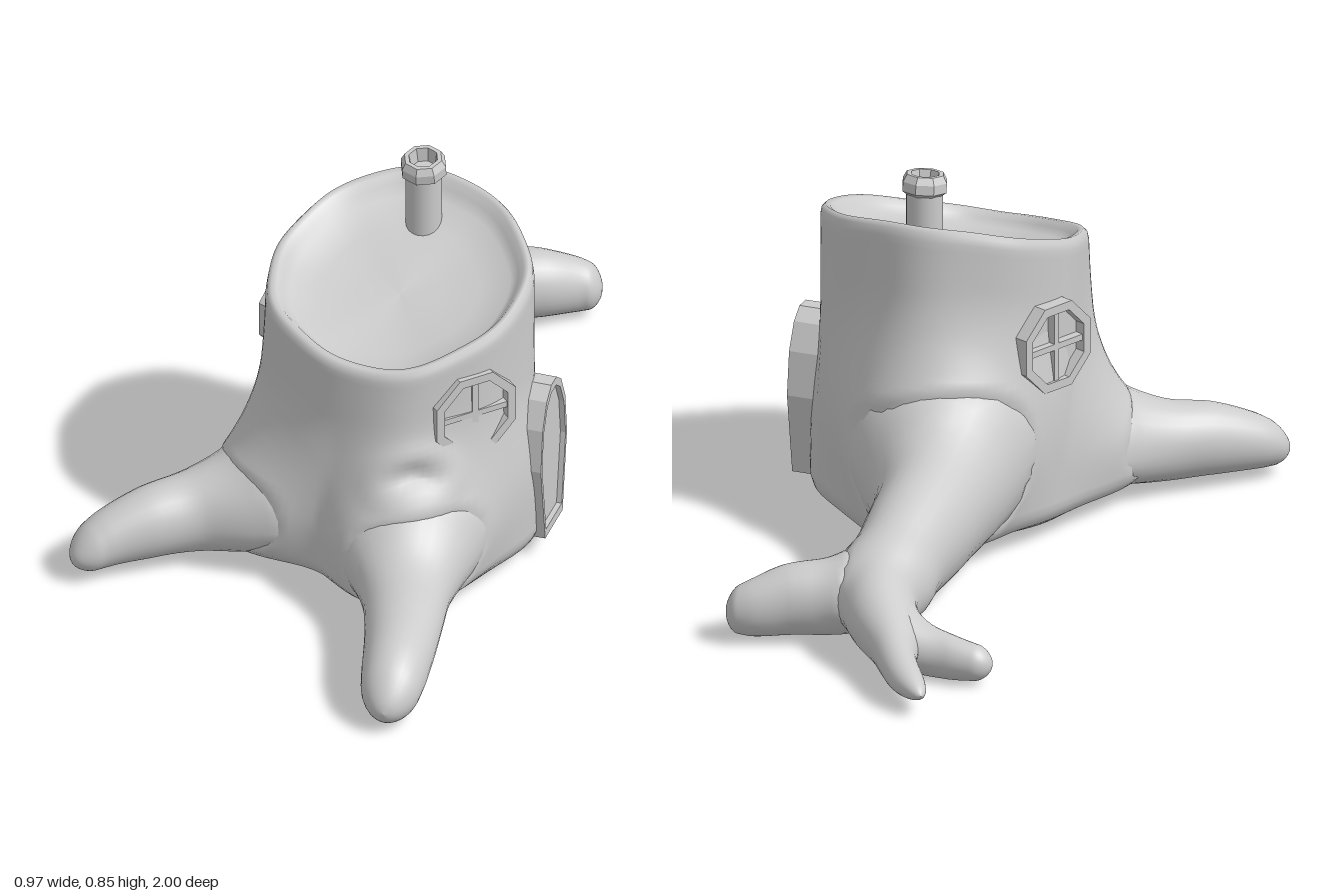
import * as THREE from 'three';

const grey = new THREE.MeshStandardMaterial({ color: 0xcccccc });
const faceted = new THREE.MeshStandardMaterial({ color: 0xcccccc, flatShading: true });

function part(name, geometry, material, parent) {
  const mesh = new THREE.Mesh(geometry, material);
  mesh.name = name;
  parent.add(mesh);
  return mesh;
}

// Smooth skin over closed rings: ringPoint(row, angle) gives [x, y, z].
function skin(rows, cols, ringPoint) {
  const pos = [], index = [];
  for (let i = 0; i < rows; i++)
    for (let j = 0; j < cols; j++) pos.push(...ringPoint(i, (j / cols) * Math.PI * 2));
  for (let i = 0; i < rows - 1; i++)
    for (let j = 0; j < cols; j++) {
      const k = (j + 1) % cols;
      const a = i * cols + j, b = i * cols + k, c = a + cols, d = b + cols;
      index.push(a, b, d, a, d, c);
    }
  const g = new THREE.BufferGeometry();
  g.setAttribute('position', new THREE.Float32BufferAttribute(pos, 3));
  g.setIndex(index);
  g.computeVertexNormals();
  return g;
}

// Swells a skin where it meets its neighbours, so the joints run together softly.
// neighbours: [distance function, reach]
function fillet(geometry, neighbours) {
  const pos = geometry.attributes.position, nor = geometry.attributes.normal;
  const p = new THREE.Vector3(), n = new THREE.Vector3();
  for (let i = 0; i < pos.count; i++) {
    p.fromBufferAttribute(pos, i);
    n.fromBufferAttribute(nor, i);
    n.y = Math.max(0, n.y);
    let swell = 0;
    for (const [distance, reach] of neighbours) {
      const near = Math.max(0, 1 - Math.abs(distance(p)) / reach);
      swell = Math.max(swell, reach / 4 * near * near);
    }
    p.addScaledVector(n, swell);
    pos.setXYZ(i, p.x, p.y, p.z);
  }
  geometry.computeVertexNormals();
  return geometry;
}

// Trunk: slanted cut on top, flaring toward each root
const CX = 0.14, CZ = 0.195;
const rimPlane = z => 0.725 - 0.3 * z;
const flares = [ // direction (degrees from +x to +z), amount, fade height, lowest height
  [74, 0.22, 0.16, 0.17],
  [147, 0.22, 0.15, 0.17],
  [-101, 0.3, 0.25, 0.25],
];
const angleGap = (a, b) => Math.atan2(Math.sin(a - b), Math.cos(a - b));

function trunkRadius(a, y) {
  const low = Math.max(0, 1 - y / 0.6);
  let r = 0.293 + 0.03 * low * low + 0.002 * Math.sin(5 * a + 1) + 0.002 * Math.sin(9 * a + y * 6);
  for (const [deg, amount, fade, lowest] of flares) {
    const d = angleGap(a, THREE.MathUtils.degToRad(deg)) / 0.4;
    r += amount * Math.exp(-Math.max(y, lowest) / fade) * Math.exp(-d * d);
  }
  // knot hollow above the front root
  const d = Math.hypot(angleGap(a, 1.17) * 4.6, (y - 0.325) / 0.05);
  return r - 0.022 * Math.exp(-2 * d * d) + 0.01 * Math.exp(-4 * (d - 1.1) ** 2);
}

const trunkDistance = p => Math.hypot(p.x - CX, (p.z - CZ) / 0.95)
  - trunkRadius(Math.atan2((p.z - CZ) / 0.95, p.x - CX), p.y);

function trunkGeometry() {
  // rows: [radius factor, height fraction, depth below the rim plane]
  const rows = [[0, 0], [0.5, 0], [0.9, 0], [0.97, 0.025]];
  for (let i = 0; i <= 36; i++) rows.push([1, 0.06 + 0.9 * i / 36]);
  rows.push([0.99, 0.985], [0.96, 1], [0.92, 0, 0.004], [0.88, 0, 0.02],
    [0.82, 0, 0.038], [0.6, 0, 0.054], [0.3, 0, 0.06], [0, 0, 0.062]);
  return skin(rows.length, 108, (i, t) => {
    const [k, h, depth] = rows[i];
    const a = -t, c = Math.cos(a), s = Math.sin(a);
    const wave = 0.006 * Math.sin(3 * a + 0.5);
    const rim = rimPlane(CZ + 0.275 * s) + wave;
    let y = 0.03 + h * (rim - 0.03);
    const r = k * trunkRadius(a, depth === undefined ? y : rim);
    const z = CZ + r * s * 0.95;
    if (depth !== undefined) y = rimPlane(z) - depth + k * wave;
    return [CX + r * c, y, z];
  });
}

// Root: stations [x, z, half width, top, bottom], rounded off at the tip
function makeRoot(stations) {
  const path = new THREE.CatmullRomCurve3(
    stations.map(([x, z, , top, low]) => new THREE.Vector3(x, (top + low) / 2, z)));
  const size = new THREE.CatmullRomCurve3(
    stations.map(([, , w, top, low]) => new THREE.Vector3(w, (top - low) / 2, 0)));
  const n = 44, slices = [];
  for (let i = 0; i <= n; i++) {
    const t = 1 - (1 - i / n) ** 1.4;
    const cap = Math.sqrt(Math.max(0, 1 - Math.max(0, (t - 0.87) / 0.13) ** 2));
    const d = path.getTangent(t).setY(0).normalize();
    slices.push({ p: path.getPoint(t), s: size.getPoint(t).multiplyScalar(cap), d });
  }
  const geometry = skin(n + 1, 28, (i, a) => {
    const { p, s, d } = slices[i];
    const across = Math.cos(a) * s.x;
    return [p.x + d.z * across, p.y + Math.sin(a) * s.y, p.z - d.x * across];
  });
  const distance = q => {
    let best = Infinity;
    for (const { p, s } of slices) {
      if (s.x < 0.01) continue;
      const e = Math.hypot((q.x - p.x) / s.x, (q.z - p.z) / s.x, (q.y - p.y) / s.y);
      best = Math.min(best, (e - 1) * (s.x + s.y) / 2);
    }
    return best;
  };
  return { geometry, distance };
}

const rootStations = {
  frontRoot: [[0.2, 0.25, 0.19, 0.38, 0.04], [0.25, 0.45, 0.13, 0.27, 0.03], [0.29, 0.6, 0.098, 0.2, 0.03],
    [0.33, 0.75, 0.083, 0.18, 0.03], [0.355, 0.88, 0.073, 0.165, 0.01], [0.37, 1.0, 0.055, 0.11, 0]],
  rightRoot: [[0.05, 0.25, 0.18, 0.36, 0.04], [-0.12, 0.37, 0.12, 0.225, 0.03], [-0.25, 0.44, 0.085, 0.2, 0.02],
    [-0.34, 0.51, 0.073, 0.185, 0.02], [-0.42, 0.58, 0.057, 0.145, 0.02], [-0.467, 0.64, 0.04, 0.095, 0.02]],
  backRoot: [[0.1, 0.05, 0.2, 0.48, 0.04], [0.03, -0.15, 0.15, 0.36, 0.03], [0, -0.3, 0.12, 0.31, 0.02],
    [-0.01, -0.45, 0.105, 0.27, 0.02], [-0.02, -0.6, 0.09, 0.22, 0.02], [-0.06, -0.72, 0.07, 0.175, 0.02],
    [-0.13, -0.82, 0.047, 0.13, 0.02], [-0.2, -0.92, 0.039, 0.1, 0.02], [-0.275, -1.0, 0.033, 0.08, 0.02]],
  backRootLeftFork: [[-0.04, -0.56, 0.06, 0.18, 0.03], [0.07, -0.63, 0.08, 0.18, 0.01],
    [0.17, -0.68, 0.068, 0.17, 0.01], [0.24, -0.72, 0.052, 0.14, 0.01], [0.295, -0.735, 0.04, 0.11, 0.02]],
  backRootRightFork: [[-0.04, -0.68, 0.045, 0.15, 0.03], [-0.15, -0.745, 0.048, 0.12, 0],
    [-0.25, -0.765, 0.043, 0.1, 0], [-0.345, -0.765, 0.033, 0.08, 0.01]],
};

const polygon = points => new THREE.Shape(points.map(([x, y]) => new THREE.Vector2(x, y)));
const scaled = (points, k, cy = 0) => points.map(([x, y]) => [x * k, cy + (y - cy) * k]);

// Flat outline extruded along +z, with an opening if a hole is given
function slab(outline, depth, hole) {
  const shape = polygon(outline);
  if (hole) shape.holes.push(polygon(hole));
  return new THREE.ExtrudeGeometry(shape, { depth, bevelEnabled: false });
}

// Eight-sided window with crossed bars, facing +z
function makeWindow(name) {
  const g = new THREE.Group();
  g.name = name;
  const ring = [];
  for (let i = 0; i < 8; i++) {
    const a = (i + 0.5) * Math.PI / 4;
    ring.push([Math.cos(a) * 0.107, Math.sin(a) * 0.107]);
  }
  part('windowFrame', slab(ring, 0.075, scaled(ring, 0.8)), faceted, g).position.z = -0.06;
  part('windowPane', slab(scaled(ring, 0.85), 0.045), faceted, g).position.z = -0.055;
  part('uprightBar', new THREE.BoxGeometry(0.014, 0.16, 0.02), faceted, g);
  part('crossBar', new THREE.BoxGeometry(0.16, 0.014, 0.02), faceted, g);
  return g;
}

export function createModel() {
  const model = new THREE.Group();
  model.name = 'stumpHouse';

  // Trunk and roots, run together at the joints
  const roots = Object.entries(rootStations).map(([name, s]) => ({ name, ...makeRoot(s) }));
  part('trunk', fillet(trunkGeometry(), roots.map(r => [r.distance, 0.16])), grey, model);
  for (const root of roots) {
    const others = roots.filter(r => r !== root && r.name.startsWith('back') && root.name.startsWith('back'));
    part(root.name, fillet(root.geometry, [[trunkDistance, 0.16], ...others.map(r => [r.distance, 0.07])]), grey, model);
  }

  // Windows
  const leftWindow = makeWindow('leftWindow');
  leftWindow.position.set(0.365, 0.45, 0.366);
  leftWindow.rotation.y = 0.83;
  const rightWindow = makeWindow('rightWindow');
  rightWindow.position.set(-0.143, 0.45, 0.082);
  rightWindow.rotation.y = -1.97;
  model.add(leftWindow, rightWindow);

  // Arched door on the left side
  const door = new THREE.Group();
  door.name = 'door';
  const half = [[0.06, 0.05], [0.09, 0.24], [0.078, 0.34], [0.05, 0.4], [0.018, 0.425]];
  const arch = [...half, ...half.map(([x, y]) => [-x, y]).reverse()];
  part('doorFrame', slab(arch, 0.112, scaled(arch, 0.89, 0.24)), faceted, door);
  part('doorPanel', slab(scaled(arch, 0.91, 0.24), 0.1), faceted, door);
  door.rotation.y = Math.PI / 2;
  door.position.set(0.37, 0, 0.16);
  model.add(door);

  // Chimney: round pipe and a tilted, hollow collar
  part('chimneyPipe', new THREE.CylinderGeometry(0.04, 0.04, 0.2, 20), grey, model).position.set(0.13, 0.71, 0.004);
  const profile = [[0.038, -0.03], [0.052, -0.02], [0.052, 0.002], [0.043, 0.018],
    [0.033, 0.018], [0.028, -0.015], [0, -0.015]].map(([x, y]) => new THREE.Vector2(x, y));
  const collar = part('chimneyCollar', new THREE.LatheGeometry(profile, 8), faceted, model);
  collar.position.set(0.13, 0.824, 0.006);
  collar.rotation.x = 0.12;

  return model;
}
